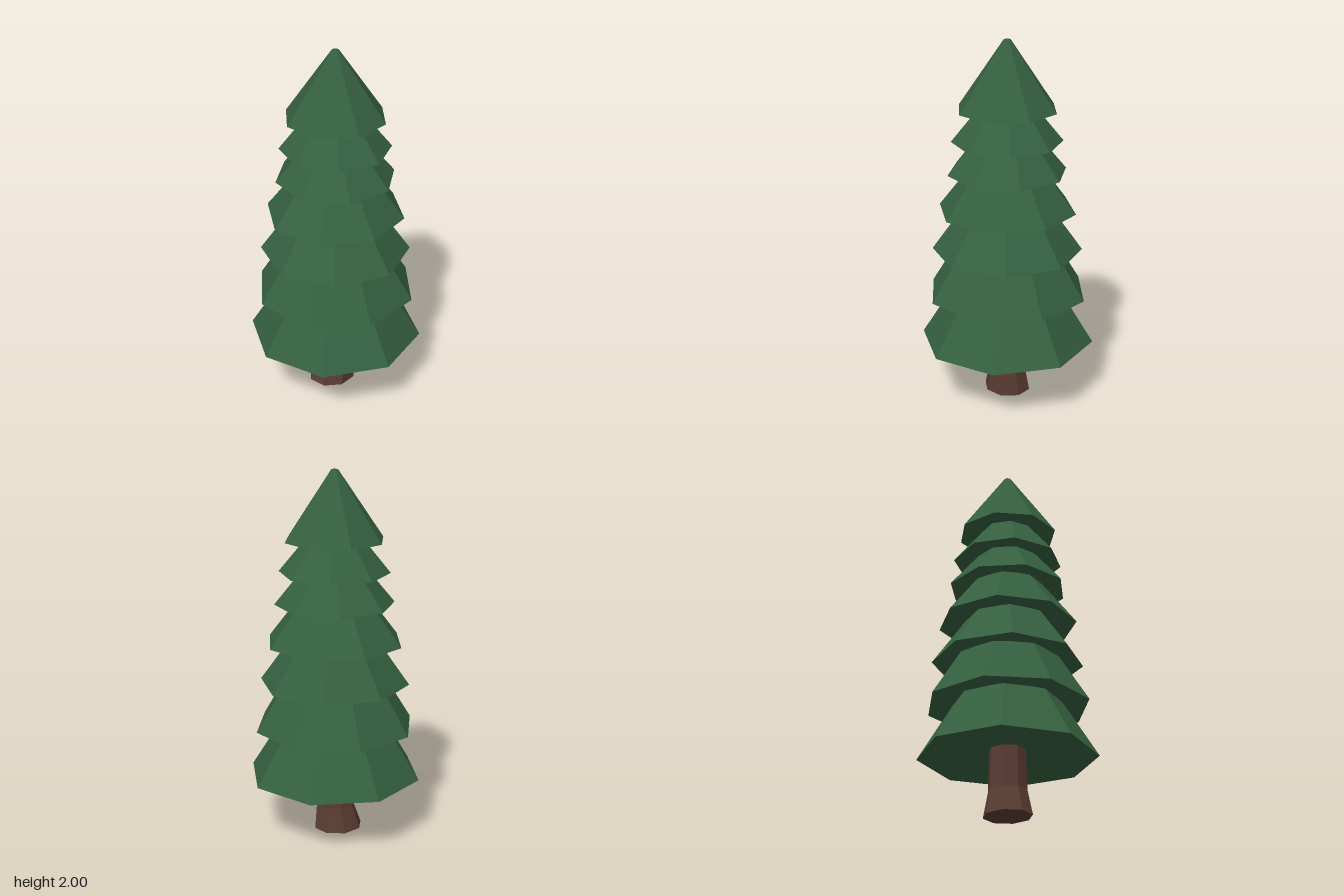
import * as THREE from 'three';

const SIDES = 8;

// Eight-sided solid turned from [radius, height] pairs, listed from the underside up
function faceted(profile, turn, material, name) {
  const points = profile.map(([r, y]) => new THREE.Vector2(r, y));
  const geometry = new THREE.LatheGeometry(points, SIDES, -THREE.MathUtils.degToRad(turn), Math.PI * 2);
  const mesh = new THREE.Mesh(geometry, material);
  mesh.name = name;
  return mesh;
}

export function createModel() {
  const tree = new THREE.Group();
  tree.name = 'pineTree';
  const green = new THREE.MeshStandardMaterial({ color: 0x35603f, flatShading: true });
  const brown = new THREE.MeshStandardMaterial({ color: 0x5a3c32, flatShading: true });

  // Branch tiers: bottom height, bottom radius, top height, top radius, turn in degrees
  const tiers = [
    [0.32, 0.475, 0.62, 0.29, 0],
    [0.6, 0.44, 0.87, 0.275, 11.8],
    [0.847, 0.405, 1.1, 0.225, -7.6],
    [1.075, 0.375, 1.31, 0.195, 4.6],
    [1.287, 0.322, 1.48, 0.165, 23.9],
    [1.457, 0.297, 1.65, 0.14, -11.4],
    [1.63, 0.272, 2.0, 0.019, 11.3],
  ];
  const branches = new THREE.Group();
  branches.name = 'branches';
  tiers.forEach(([y0, r0, y1, r1, turn], i) => {
    // The underside is slightly hollowed towards the trunk
    const profile = [[0, y0 + 0.05], [r0, y0], [r1, y1], [0, y1]];
    branches.add(faceted(profile, turn, green, `branchTier${i + 1}`));
  });
  tree.add(branches);

  // Trunk with a flared foot that spreads further to the back and one side
  const trunk = faceted([[0, 0], [0.128, 0], [0.104, 0.14], [0.097, 0.42], [0, 0.42]], 10, brown, 'trunk');
  const position = trunk.geometry.attributes.position;
  for (let i = 0; i < position.count; i++) {
    if (position.getY(i) > 0.01) continue;
    position.setX(i, position.getX(i) * 1.06 - 0.015);
    position.setZ(i, position.getZ(i) * 0.97 - 0.012);
  }
  trunk.geometry.computeVertexNormals();
  tree.add(trunk);

  return tree;
}
